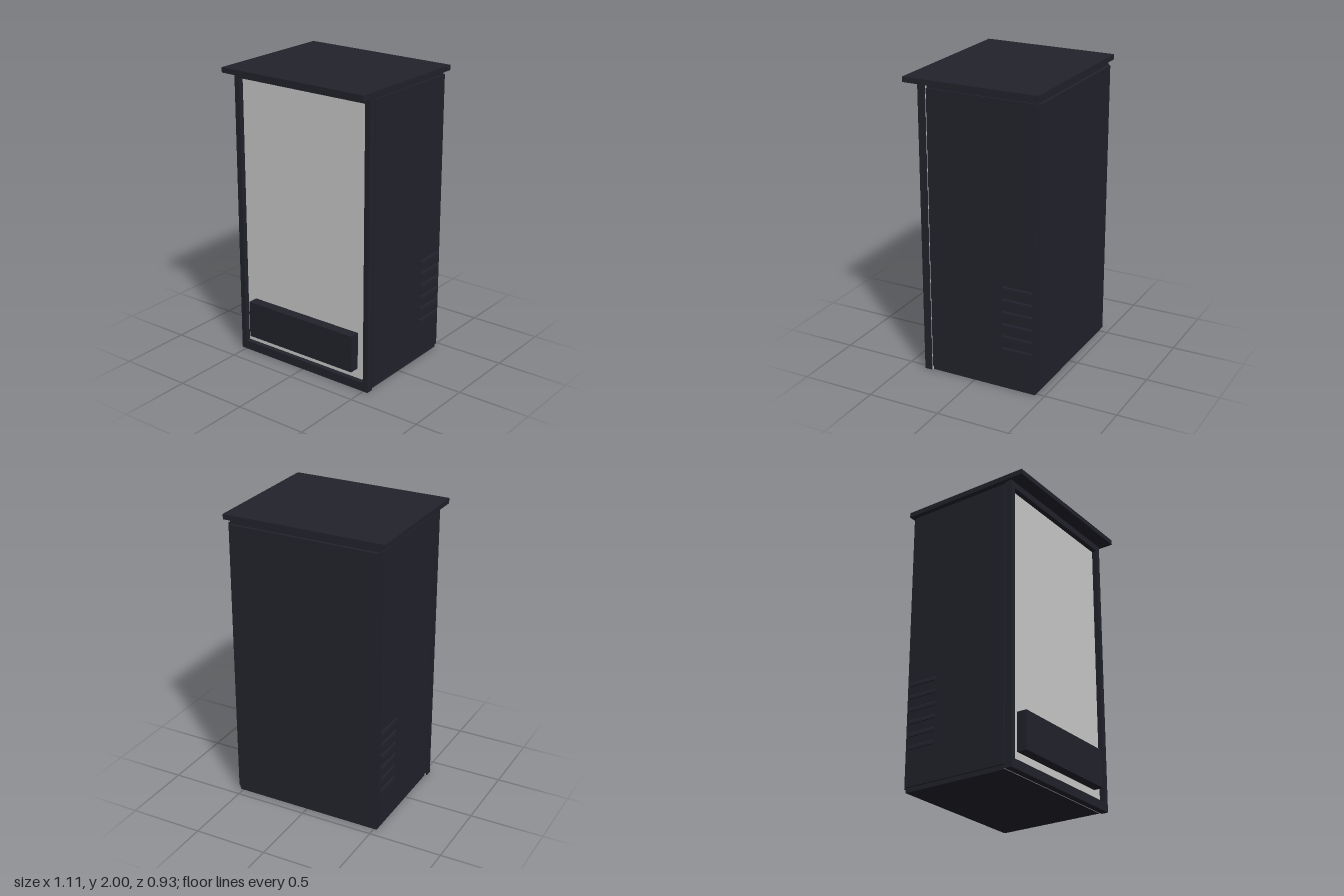
import * as THREE from 'three';

export function createModel() {
  const group = new THREE.Group();
  const dark = new THREE.MeshStandardMaterial({ color: 0x22222c });
  dark.name = 'dark navy paint';
  const light = new THREE.MeshStandardMaterial({ color: 0xcbcbcb });
  light.name = 'pale grey panel';

  const add = (name, geometry, material) => {
    const mesh = new THREE.Mesh(geometry, material);
    mesh.name = name;
    group.add(mesh);
    return mesh;
  };
  // Box given by its minimum and maximum corners
  const box = (name, material, [x0, y0, z0], [x1, y1, z1]) =>
    add(name, new THREE.BoxGeometry(x1 - x0, y1 - y0, z1 - z0), material)
      .position.set((x0 + x1) / 2, (y0 + y1) / 2, (z0 + z1) / 2);

  // Cabinet core, roof and raised back panel
  box('cabinetBody', dark, [-0.52, 0, -0.44], [0.52, 1.965, 0.314]);
  box('roof', dark, [-0.555, 1.965, -0.465], [0.555, 2, 0.465]);
  box('backPanel', dark, [-0.51, 0.03, -0.46], [0.51, 1.935, -0.44]);

  // Light front sheet, whose edge shows behind the frame, and its inset face
  box('frontSheet', light, [-0.523, 0, 0.314], [0.523, 1.965, 0.322]);
  box('frontPanel', light, [-0.5, 0.06, 0.322], [0.5, 1.92, 0.335]);

  // Door frame with a rectangular opening
  const rect = (path, x, y0, y1) => {
    path.moveTo(-x, y0);
    path.lineTo(x, y0);
    path.lineTo(x, y1);
    path.lineTo(-x, y1);
    path.closePath();
    return path;
  };
  const outline = rect(new THREE.Shape(), 0.535, 0, 1.965);
  outline.holes.push(rect(new THREE.Path(), 0.497, 0.06, 1.92));
  add('doorFrame', new THREE.ExtrudeGeometry(outline, { depth: 0.048, bevelEnabled: false }), dark)
    .position.z = 0.322;

  // Box low on the front
  box('dispensingTray', dark, [-0.43, 0.13, 0.335], [0.43, 0.385, 0.405]);

  // Wedge-shaped vent hood, flaring outward towards its lower edge
  const wedge = new THREE.Shape();
  wedge.moveTo(0, -0.015);
  wedge.lineTo(0.01, -0.015);
  wedge.lineTo(0.008, 0.005);
  wedge.lineTo(0, 0.015);
  wedge.closePath();
  const hood = new THREE.ExtrudeGeometry(wedge, { depth: 0.21, bevelEnabled: false });

  // Raised side skins with vents near the back
  for (const side of [-1, 1]) {
    const label = side > 0 ? 'left' : 'right';
    const skin = add(label + 'SidePanel', new THREE.BoxGeometry(0.012, 1.91, 0.752), dark);
    skin.position.set(side * 0.526, 0.985, -0.064);
    for (let i = 0; i < 6; i++) {
      const vent = add(label + 'Vent', hood, dark);
      vent.rotation.y = side > 0 ? 0 : Math.PI;
      vent.position.set(side * 0.531, 0.286 + i * 0.0856, side > 0 ? -0.425 : -0.215);
    }
  }
  return group;
}
